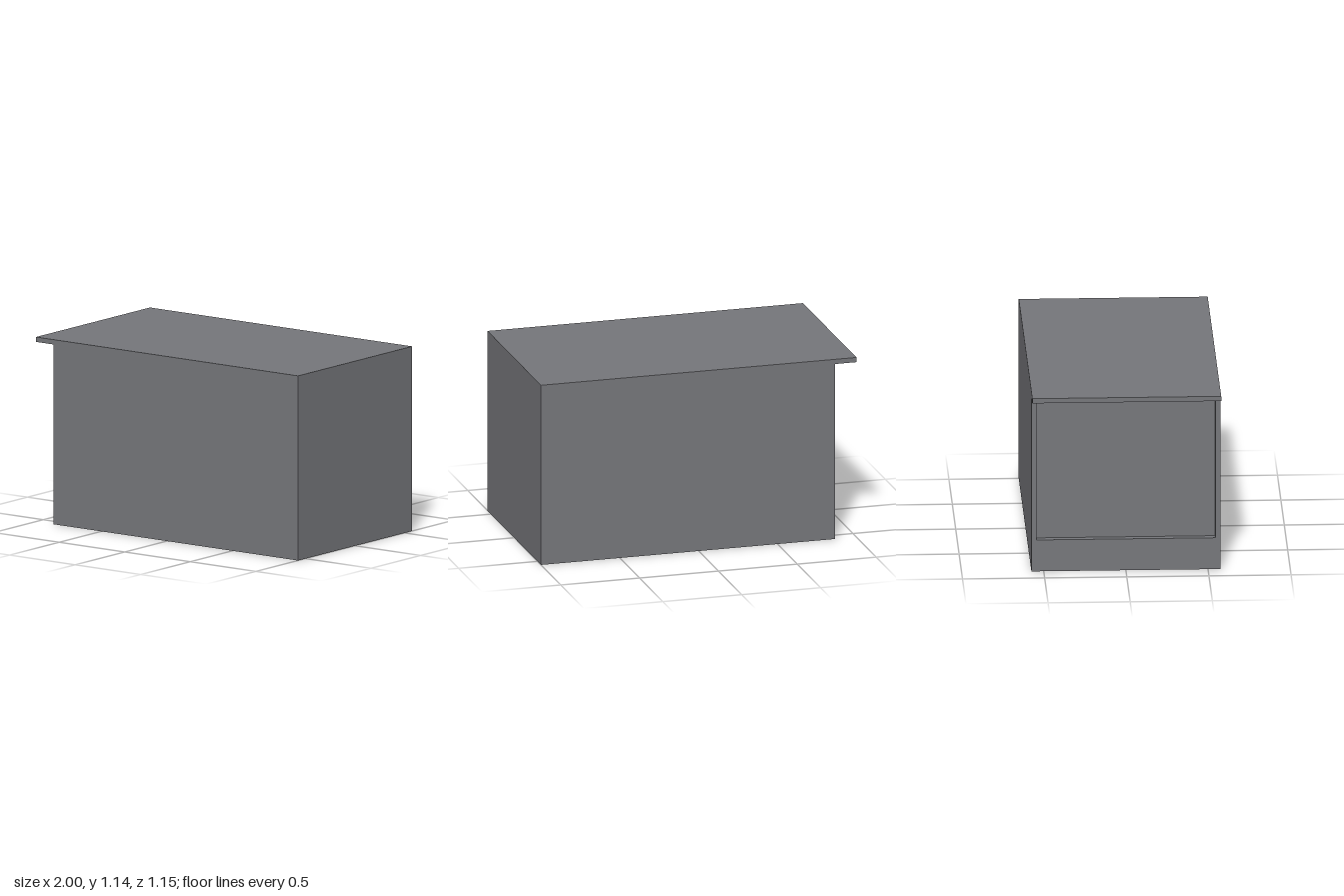
import * as THREE from 'three';

export function createModel() {
  const group = new THREE.Group();
  const grey = new THREE.MeshStandardMaterial({ color: 0x75767a });
  grey.name = 'grey';

  // A panel given by its extents along each axis
  function panel(name, [x0, x1], [y0, y1], [z0, z1]) {
    const mesh = new THREE.Mesh(new THREE.BoxGeometry(x1 - x0, y1 - y0, z1 - z0), grey);
    mesh.position.set((x0 + x1) / 2, (y0 + y1) / 2, (z0 + z1) / 2);
    mesh.name = name;
    group.add(mesh);
  }

  const T = 0.03;                       // board thickness
  const H = 1.145, W = 0.575;           // height and half depth
  const open = -0.865, end = 1;         // open end and closed end in x
  const recess = open + 0.042;          // face of the set-back panel
  const inner = [-W + T, W - T];

  // Roof, overhanging the open end
  panel('roof', [-1, end], [H - T, H], [-W, W]);

  // Long side walls
  panel('frontWall', [open, end], [0, H - T], [W - T, W]);
  panel('backWall', [open, end], [0, H - T], [-W, -W + T]);

  // Floor and closed end
  panel('floor', [recess, end - T], [0, T], inner);
  panel('endWall', [end - T, end], [0, H - T], inner);

  // Recessed panel above a low sill at the open end
  panel('recessedPanel', [recess, recess + T], [T, H - T], inner);
  panel('sill', [open, recess], [0, 0.2], inner);

  return group;
}
